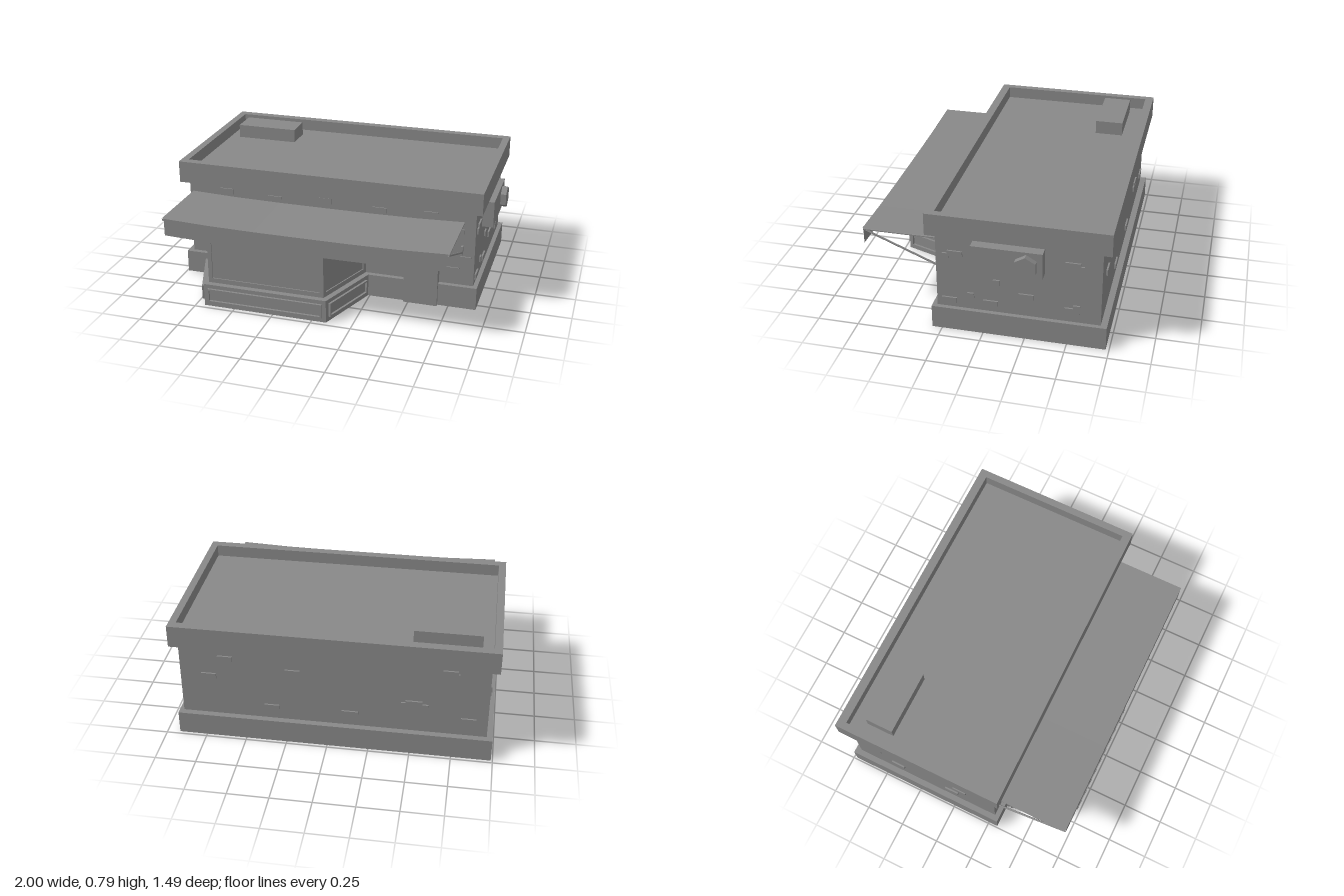
import * as THREE from 'three';

const grey = new THREE.MeshStandardMaterial({ color: 0x888888, flatShading: true, side: THREE.DoubleSide });

function add(parent, name, geometry) {
  const mesh = new THREE.Mesh(geometry, grey);
  mesh.name = name;
  parent.add(mesh);
  return mesh;
}

// Box given by its limits on each axis
function block(parent, name, x0, x1, y0, y1, z0, z1) {
  const mesh = add(parent, name, new THREE.BoxGeometry(x1 - x0, y1 - y0, z1 - z0));
  mesh.position.set((x0 + x1) / 2, (y0 + y1) / 2, (z0 + z1) / 2);
  return mesh;
}

const rect = (x0, x1, z0, z1) => [[x0, z0], [x1, z0], [x1, z1], [x0, z1]];
const toPoints = (list, s) => list.map(([a, b]) => new THREE.Vector2(a, s * b));

// Floor plan (x, z) with an optional hole, raised from y0 to y1
function slab(parent, name, y0, y1, outer, inner) {
  const shape = new THREE.Shape(toPoints(outer, -1));
  if (inner) shape.holes.push(new THREE.Path(toPoints(inner, -1)));
  const geometry = new THREE.ExtrudeGeometry(shape, { depth: y1 - y0, bevelEnabled: false });
  geometry.rotateX(-Math.PI / 2);
  geometry.translate(0, y0, 0);
  return add(parent, name, geometry);
}

// Upright rectangular frame with a hole, facing local +z
function frame(parent, name, o, i, depth) {
  const shape = new THREE.Shape(toPoints(rect(...o), 1));
  shape.holes.push(new THREE.Path(toPoints(rect(...i), 1)));
  return add(parent, name, new THREE.ExtrudeGeometry(shape, { depth, bevelEnabled: false }));
}

// Group whose local x runs from a to b and whose local z points outwards
function side(parent, name, a, b) {
  const g = new THREE.Group();
  g.name = name;
  g.position.set(a[0], 0, a[1]);
  g.rotation.y = Math.atan2(a[1] - b[1], b[0] - a[0]);
  parent.add(g);
  return [g, Math.hypot(b[0] - a[0], b[1] - a[1])];
}

function rod(parent, name, a, b, r) {
  const path = new THREE.LineCurve3(new THREE.Vector3(...a), new THREE.Vector3(...b));
  return add(parent, name, new THREE.TubeGeometry(path, 1, r, 6, false));
}

export function createModel() {
  const model = new THREE.Group();
  model.name = 'shop';
  const X0 = -0.955, X1 = 0.895, Z0 = -0.692, Z1 = 0.28;

  // Plinth, including the foot of the bay; hollow and open underneath
  const bayFoot = [[-0.845, 0.31], [-0.695, 0.72], [0.09, 0.72], [0.24, 0.31]];
  const bay = [[-0.825, Z1], [-0.675, 0.685], [0.065, 0.685], [0.215, Z1]];
  const plinthOuter = [[-0.99, -0.73], [-0.99, 0.31], ...bayFoot, [0.922, 0.31], [0.922, -0.73]];
  const plinthInner = [[-0.986, -0.726], [-0.986, 0.306], [-0.842, 0.306], [-0.692, 0.716],
    [0.087, 0.716], [0.237, 0.306], [0.918, 0.306], [0.918, -0.726]];
  const ledgeInner = [[X0, Z0], [X0, Z1], ...bay, [X1, Z1], [X1, Z0]];
  slab(model, 'plinth', 0, 0.141, plinthOuter, plinthInner);
  slab(model, 'plinthLedge', 0.141, 0.145, plinthOuter, ledgeInner);

  // Walls, the front one open to the bay
  const t = 0.005;
  block(model, 'rightWall', X0, X0 + t, 0.141, 0.7, Z0, Z1);
  block(model, 'leftWall', X1 - t, X1, 0.141, 0.7, Z0, Z1);
  block(model, 'backWall', X0, X1, 0.141, 0.7, Z0, Z0 + t);
  frame(model, 'frontWall', [X0, X1, 0.141, 0.7], [-0.82, 0.21, 0.145, 0.5], t).position.z = Z1 - t;

  // Roof with parapet and vent box
  slab(model, 'parapet', 0.637, 0.775, rect(-1, 0.937, -0.745, 0.33), rect(-0.955, 0.893, -0.692, 0.278));
  block(model, 'roofDeck', -0.96, 0.897, 0.685, 0.7, -0.697, 0.283);
  block(model, 'roofVent', -0.89, -0.49, 0.7, 0.787, -0.595, -0.42);

  // Bay window: framed panes above, raised panel frames below
  const bayGroup = new THREE.Group();
  bayGroup.name = 'bayWindow';
  model.add(bayGroup);
  slab(bayGroup, 'bayCeiling', 0.497, 0.505, bay);
  for (let i = 0; i < 3; i++) {
    const [win, w] = side(bayGroup, 'baySide', bay[i], bay[i + 1]);
    frame(win, 'windowFrame', [0, w, 0.141, 0.505], [0.026, w - 0.026, 0.175, 0.475], 0.012).position.z = -0.012;
    block(win, 'windowPane', 0.02, w - 0.02, 0.17, 0.48, -0.01, -0.007);
    const [foot, f] = side(bayGroup, 'bayFootSide', bayFoot[i], bayFoot[i + 1]);
    frame(foot, 'panelFrame', [0.026, f - 0.026, 0.03, 0.12], [0.036, f - 0.036, 0.04, 0.11], 0.026).position.z = -0.012;
  }

  // Door
  block(model, 'door', 0.47, 0.683, 0, 0.415, 0.27, 0.33);

  // Awning sheet with a slightly narrower hanging valance, sagging in the middle
  const cloth = new THREE.PlaneGeometry(1.76, 1, 6, 3);
  const p = cloth.attributes.position;
  const rows = [[0.564, Z1, 1], [0.564, 0.745, 1], [0.564, 0.745, 0.984], [0.455, 0.745, 0.984]];
  for (let i = 0; i < p.count; i++) {
    const [y, z, scale] = rows[Math.floor(i / 7)];
    const sag = 0.015 * (1 - Math.pow(Math.abs(p.getX(i)) / 0.88, 3));
    p.setXYZ(i, p.getX(i) * scale - 0.055, y - sag, z);
  }
  cloth.computeVertexNormals();
  add(model, 'awningCloth', cloth);
  for (const x of [-0.928, 0.818]) {
    rod(model, 'awningArm', [x, 0.365, 0.285], [x, 0.553, 0.738], 0.006);
    rod(model, 'awningRail', [x, 0.554, Z1], [x, 0.554, 0.742], 0.006);
    block(model, 'awningBracket', x - 0.006, x + 0.006, 0.35, 0.41, Z1, 0.3);
  }

  // Wall sign with hexagonal emblem
  block(model, 'signBoard', X1 - 0.01, 0.965, 0.45, 0.617, -0.362, 0.055);
  const hexagon = new THREE.CylinderGeometry(0.07, 0.07, 0.04, 6);
  hexagon.rotateY(Math.PI / 2);
  hexagon.rotateZ(-Math.PI / 2);
  add(model, 'signHexagon', hexagon).position.set(0.98, 0.533, -0.268);

  // Loose bricks showing on both faces of the walls: [along, y, width]
  const bricks = new THREE.Group();
  bricks.name = 'bricks';
  model.add(bricks);
  const d = 0.01, h = 0.0175;
  const leftBricks = [
    [0.165, 0.513, 0.09], [0.22, 0.494, 0.04], [-0.08, 0.35, 0.04], [-0.255, 0.278, 0.09],
    [0.075, 0.24, 0.04], [-0.043, 0.203, 0.09], [0.205, 0.193, 0.09], [-0.525, 0.528, 0.09],
    [-0.57, 0.508, 0.04], [-0.525, 0.222, 0.09], [-0.55, 0.243, 0.04]];
  for (const [z, y, w] of leftBricks)
    block(bricks, 'leftBrick', X1 - d, X1 + d, y - h, y + h, z - w / 2, z + w / 2);
  const rightBricks = [
    [-0.55, 0.42, 0.09], [-0.4, 0.28, 0.09], [-0.3, 0.56, 0.09], [-0.13, 0.43, 0.09],
    [0.04, 0.38, 0.09], [0.14, 0.56, 0.09], [0.17, 0.535, 0.04], [-0.02, 0.27, 0.09]];
  for (const [z, y, w] of rightBricks)
    block(bricks, 'rightBrick', X0 - d, X0 + d, y - h, y + h, z - w / 2, z + w / 2);
  const backBricks = [
    [0.615, 0.55, 0.09], [0.72, 0.42, 0.09], [0.21, 0.49, 0.09], [0.34, 0.227, 0.09],
    [-0.135, 0.23, 0.1], [-0.515, 0.345, 0.1], [-0.575, 0.325, 0.05], [-0.465, 0.33, 0.05],
    [-0.72, 0.58, 0.09], [-0.755, 0.56, 0.04], [-0.84, 0.25, 0.09]];
  for (const [x, y, w] of backBricks)
    block(bricks, 'backBrick', x - w / 2, x + w / 2, y - h, y + h, Z0 - d, Z0 + d);
  const frontBricks = [
    [-0.7, 0.59, 0.09], [-0.38, 0.575, 0.09], [-0.05, 0.6, 0.09], [0.3, 0.58, 0.09],
    [0.62, 0.59, 0.09], [0.78, 0.5, 0.09], [0.84, 0.32, 0.07], [0.76, 0.24, 0.09],
    [-0.9, 0.4, 0.06], [-0.89, 0.25, 0.07], [0.36, 0.47, 0.09]];
  for (const [x, y, w] of frontBricks)
    block(bricks, 'frontBrick', x - w / 2, x + w / 2, y - h, y + h, Z1 - 0.015, Z1 + 0.007);

  return model;
}
